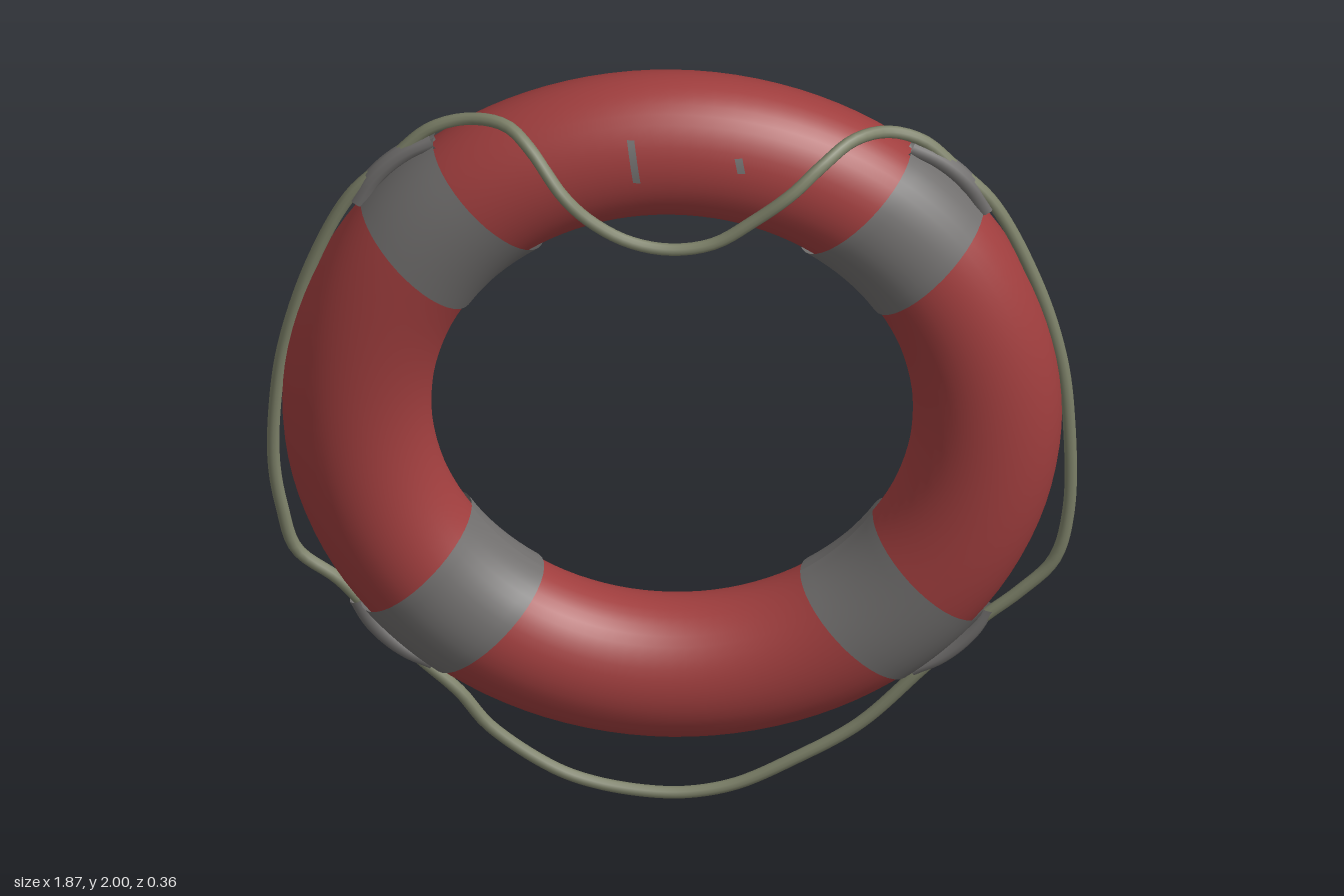
import * as THREE from 'three';

const RING_Y = 1.1, RING_Z = -0.016;   // ring centre
const R = 0.727, RAD = 0.172, DEPTH = 0.158; // ring radius, section half width and half depth

const red = new THREE.MeshStandardMaterial({ color: 0xa03e3e });
red.name = 'ringRed';
const grey = new THREE.MeshStandardMaterial({ color: 0x706e6d, side: THREE.DoubleSide });
grey.name = 'bandGrey';
const olive = new THREE.MeshStandardMaterial({ color: 0x7c8068 });
olive.name = 'ropeOlive';

function part(name, geometry, material) {
  const mesh = new THREE.Mesh(geometry, material);
  mesh.name = name;
  return mesh;
}

// Straight-sided sleeve hugging the ring, with its middle on local +x
function bandGeometry(halfWidth, lift) {
  const g = new THREE.PlaneGeometry(halfWidth * 2, Math.PI * 2, 8, 40);
  const p = g.attributes.position;
  for (let i = 0; i < p.count; i++) {
    const t = p.getX(i), a = p.getY(i);
    const r = R + (RAD + lift) * Math.cos(a);
    p.setXYZ(i, Math.sqrt(r * r - t * t), t, (DEPTH + lift) * Math.sin(a));
  }
  g.computeVertexNormals();
  return g;
}

// Small slanted fleck laid on the front of the ring (coordinates relative to ring centre)
function fleckGeometry(x, y, w, h, skew) {
  const g = new THREE.PlaneGeometry(w, h, 1, 8);
  const p = g.attributes.position;
  for (let i = 0; i < p.count; i++) {
    const px = x + p.getX(i) + skew * p.getY(i), py = y + p.getY(i);
    const k = (Math.hypot(px, py) - R) / RAD;
    p.setXYZ(i, px, py, DEPTH * Math.sqrt(1 - k * k) + 0.003);
  }
  g.computeVertexNormals();
  return g;
}

function curveOf(points, closed) {
  return new THREE.CatmullRomCurve3(
    points.map(([x, y, z = RING_Z]) => new THREE.Vector3(x, y, z)), closed, 'centripetal');
}

export function createModel() {
  const model = new THREE.Group();
  model.name = 'lifeRing';

  const ring = new THREE.Group();
  ring.name = 'ring';
  ring.position.set(0, RING_Y, RING_Z);
  model.add(ring);

  // Padded ring, slightly flattened front to back
  const torus = new THREE.TorusGeometry(R, RAD, 40, 112);
  torus.scale(1, 1, DEPTH / RAD);
  ring.add(part('paddedRing', torus, red));

  // Four bands, each with a sleeve that holds the rope
  const band = bandGeometry(0.118, 0.007);
  const sleevePath = curveOf([[0.902, -0.122, 0], [0.922, -0.06, 0], [0.928, 0, 0], [0.922, 0.06, 0], [0.902, 0.122, 0]], false);
  const sleeve = new THREE.TubeGeometry(sleevePath, 16, 0.022, 10, false);
  for (let i = 0; i < 4; i++) {
    const holder = new THREE.Group();
    holder.name = 'bandHolder' + (i + 1);
    holder.rotation.z = Math.PI / 4 + i * Math.PI / 2;
    holder.add(part('band', band, grey), part('ropeSleeve', sleeve, grey));
    ring.add(holder);
  }

  // Worn flecks on the front
  ring.add(part('longFleck', fleckGeometry(-0.085, 0.77, 0.017, 0.1, -0.15), grey));
  ring.add(part('smallFleck', fleckGeometry(0.16, 0.765, 0.018, 0.035, -0.2), grey));

  // Grab rope: slack at the bottom, draped over the front at the top
  const rope = curveOf([
    [-0.04, 0.018], [-0.17, 0.04], [-0.27, 0.08], [-0.42, 0.195], [-0.49, 0.29], [-0.57, 0.37],
    [-0.65, 0.45], [-0.71, 0.53], [-0.77, 0.6], [-0.865, 0.68], [-0.9, 0.8], [-0.918, 0.92],
    [-0.916, 1.08], [-0.895, 1.25], [-0.83, 1.48], [-0.74, 1.67], [-0.65, 1.765], [-0.56, 1.855],
    [-0.47, 1.895, 0], [-0.38, 1.91, 0.05], [-0.325, 1.88, 0.1], [-0.25, 1.79, 0.155],
    [-0.19, 1.73, 0.165], [-0.1, 1.672, 0.165], [0, 1.65, 0.165], [0.1, 1.668, 0.165],
    [0.19, 1.73, 0.165], [0.28, 1.805, 0.162], [0.35, 1.862, 0.125], [0.42, 1.89, 0.06],
    [0.5, 1.875, 0], [0.58, 1.84], [0.655, 1.765], [0.74, 1.67], [0.84, 1.45], [0.895, 1.25],
    [0.914, 1.08], [0.914, 0.82], [0.88, 0.68], [0.8, 0.59], [0.72, 0.52], [0.65, 0.45],
    [0.575, 0.37], [0.43, 0.215], [0.28, 0.115], [0.15, 0.045], [0.05, 0.02],
  ], true);
  model.add(part('grabRope', new THREE.TubeGeometry(rope, 260, 0.015, 10, true), olive));

  return model;
}
